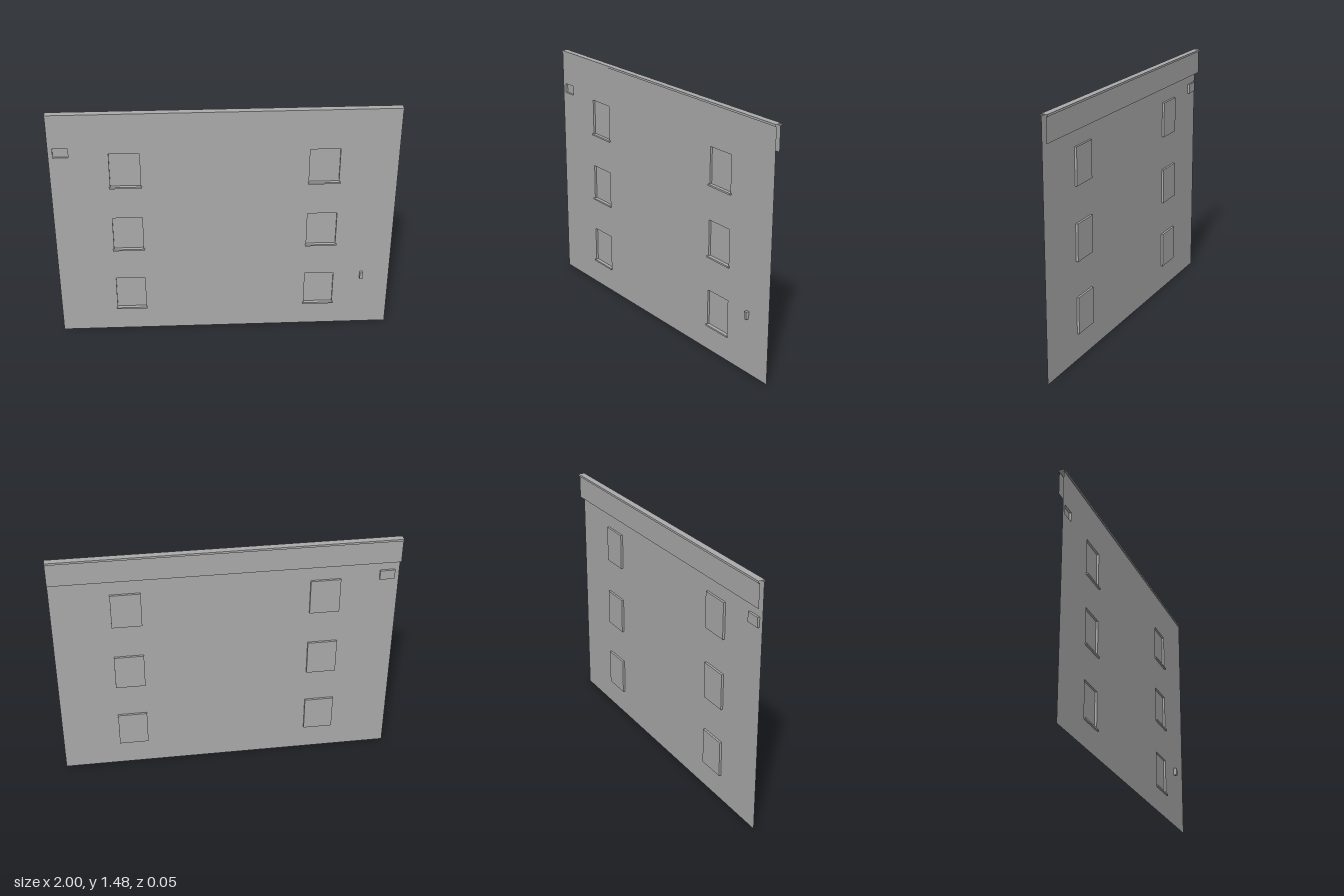
import * as THREE from 'three';

const WALL_Z = 0.008;
const TOP = 1.484;

export function createModel() {
  const group = new THREE.Group();
  const plaster = new THREE.MeshStandardMaterial({ color: 0xaaaaaa, side: THREE.DoubleSide });
  plaster.name = 'grey plaster';

  const add = (name, geometry, x = 0, y = 0, z = 0) => {
    const mesh = new THREE.Mesh(geometry, plaster);
    mesh.name = name;
    mesh.position.set(x, y, z);
    group.add(mesh);
  };

  // Openings: six windows and one vent, as centre and size
  const windows = [];
  for (const x of [-0.573, 0.573]) {
    for (const y of [0.267, 0.696, 1.125]) windows.push({ name: 'windowRecess', x, y, w: 0.175, h: 0.217 });
  }
  const vent = { name: 'ventRecess', x: -0.93, y: 1.243, w: 0.087, h: 0.058 };
  const openings = [...windows, vent];

  // Thin facade sheet with the openings cut out
  const rect = (Kind, x0, y0, x1, y1) => new Kind([
    new THREE.Vector2(x0, y0), new THREE.Vector2(x1, y0),
    new THREE.Vector2(x1, y1), new THREE.Vector2(x0, y1),
  ]);
  const facade = rect(THREE.Shape, -1, 0, 1, TOP - 0.012);
  for (const o of openings) {
    facade.holes.push(rect(THREE.Path, o.x - o.w / 2, o.y - o.h / 2, o.x + o.w / 2, o.y + o.h / 2));
  }
  add('facadeWall', new THREE.ShapeGeometry(facade), 0, 0, WALL_Z);

  // Shallow recesses: boxes without their front face
  const depth = 0.013;
  for (const o of openings) {
    const box = new THREE.BoxGeometry(o.w, o.h, depth);
    const index = Array.from(box.index.array);
    index.splice(24, 6);
    box.setIndex(index);
    box.clearGroups();
    add(o.name, box, o.x, o.y, WALL_Z - depth / 2);
  }

  // Window sills
  for (const o of windows) {
    add('windowSill', new THREE.BoxGeometry(0.188, 0.01, 0.01), o.x, o.y - o.h / 2 - 0.004, WALL_Z + 0.005);
  }

  // Entry panel box
  add('entryPanel', new THREE.BoxGeometry(0.017, 0.045, 0.019), 0.83, 0.357, WALL_Z + 0.0095);

  // Coping and rear parapet: open-ended folded sheet, profile as [z, y]
  const profile = [
    [WALL_Z, TOP - 0.012], [0.013, TOP - 0.012], [0.013, TOP], [-0.027, TOP],
    [-0.027, TOP - 0.012], [-0.019, TOP - 0.012], [-0.019, 1.332],
  ];
  for (let i = 0; i < profile.length - 1; i++) {
    const [z0, y0] = profile[i];
    const [z1, y1] = profile[i + 1];
    const strip = new THREE.PlaneGeometry(2, Math.hypot(z1 - z0, y1 - y0));
    strip.rotateX(Math.atan2(z1 - z0, y1 - y0));
    add(i === profile.length - 2 ? 'rearParapet' : 'coping', strip, 0, (y0 + y1) / 2, (z0 + z1) / 2);
  }

  return group;
}
